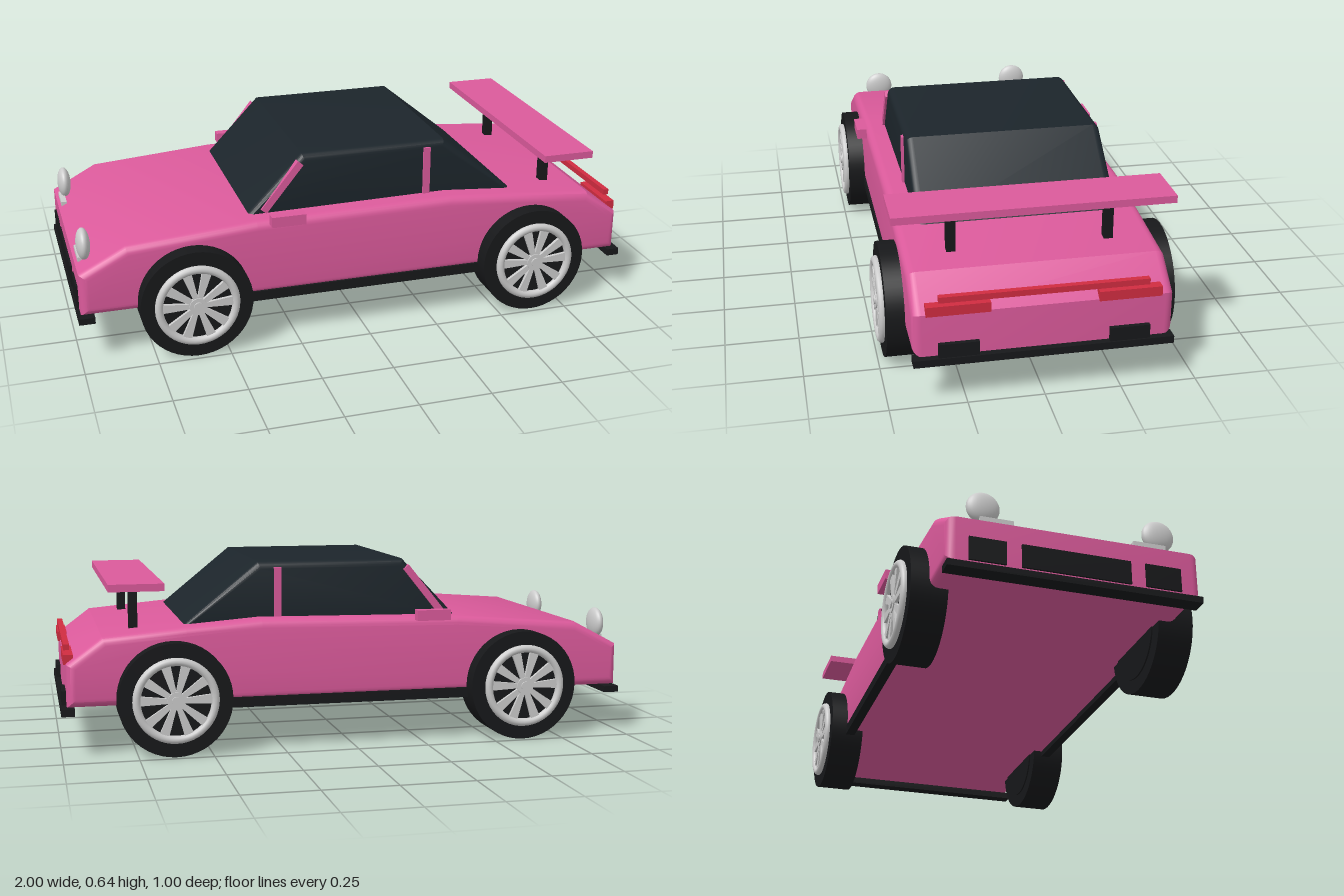
import * as THREE from 'three';
import { toCreasedNormals } from 'three/addons/utils/BufferGeometryUtils.js';

const material = (color) => new THREE.MeshStandardMaterial({ color });

export function createModel() {
  const car = new THREE.Group();
  car.name = 'car';
  const paint = material(0xdb5a9b), black = material(0x17181a), glass = material(0x1c252b);
  const red = material(0xd02c40), metal = material(0xcccccc);

  const add = (name, geometry, mat, x = 0, y = 0, z = 0, parent = car) => {
    const mesh = new THREE.Mesh(geometry, mat);
    mesh.name = name;
    mesh.position.set(x, y, z);
    parent.add(mesh);
    return mesh;
  };
  // Box given by its limits along each axis
  const box = (name, mat, [x0, x1], [y0, y1], [z0, z1]) =>
    add(name, new THREE.BoxGeometry(x1 - x0, y1 - y0, z1 - z0), mat,
      (x0 + x1) / 2, (y0 + y1) / 2, (z0 + z1) / 2);
  // The same box on both sides of the car
  const boxPair = (name, mat, xs, ys, [z0, z1]) => {
    box(name, mat, xs, ys, [z0, z1]);
    box(name, mat, xs, ys, [-z1, -z0]);
  };
  // Side profile extruded across the car with rounded side edges
  const hull = (name, mat, points, halfWidth, bevel) => {
    const shape = new THREE.Shape(points.map(([x, y]) => new THREE.Vector2(x, y)));
    const geometry = new THREE.ExtrudeGeometry(shape, {
      depth: 2 * (halfWidth - bevel), bevelThickness: bevel, bevelSize: bevel,
      bevelOffset: -bevel, bevelSegments: 5,
    });
    geometry.translate(0, 0, bevel - halfWidth);
    add(name, toCreasedNormals(geometry, 0.45), mat);
  };

  // Body and cabin
  hull('body', paint, [[-0.99, 0.17], [0.98, 0.17], [0.98, 0.315], [0.86, 0.405], [0.58, 0.43],
    [0.32, 0.45], [-0.38, 0.44], [-0.83, 0.405], [-0.99, 0.32]], 0.42, 0.03);
  hull('cabin', glass, [[-0.41, 0.42], [0.59, 0.42], [0.32, 0.64], [-0.2, 0.64]], 0.342, 0.025);

  // Roof pillars and mirrors
  boxPair('doorPillar', paint, [0.24, 0.265], [0.43, 0.62], [0.325, 0.35]);
  for (const side of [-1, 1]) {
    const pillar = add('windscreenPillar', new THREE.BoxGeometry(0.025, 0.21, 0.025), paint,
      -0.275, 0.53, side * 0.3375);
    pillar.rotation.z = -0.68;
  }
  boxPair('mirror', paint, [-0.34, -0.22], [0.433, 0.47], [0.424, 0.46]);

  // Rear wing
  box('wing', paint, [0.655, 0.84], [0.56, 0.585], [-0.46, 0.46]);
  boxPair('wingPost', black, [0.73, 0.76], [0.41, 0.562], [0.245, 0.275]);

  // Sills, splitter, bumper and air intakes
  boxPair('sill', black, [-0.5, 0.5], [0.15, 0.185], [0.39, 0.424]);
  box('frontSplitter', black, [-1, -0.945], [0.143, 0.165], [-0.42, 0.42]);
  box('rearBumper', black, [0.955, 1], [0.143, 0.168], [-0.42, 0.42]);
  boxPair('rearVent', black, [0.965, 0.995], [0.165, 0.215], [0.21, 0.34]);
  box('frontIntake', black, [-0.997, -0.97], [0.175, 0.255], [-0.18, 0.18]);
  boxPair('sideIntake', black, [-0.997, -0.97], [0.175, 0.255], [0.23, 0.35]);

  // Lights
  boxPair('tailLight', red, [0.955, 0.988], [0.312, 0.345], [0.173, 0.377]);
  box('rearLightBar', red, [0.965, 0.985], [0.355, 0.375], [-0.336, 0.336]);
  boxPair('headlightBase', metal, [-0.98, -0.96], [0.325, 0.342], [0.2, 0.31]);
  for (const side of [-1, 1]) {
    const lamp = add('headlight', new THREE.SphereGeometry(1, 28, 18), metal, -0.957, 0.385, side * 0.295);
    lamp.scale.set(0.024, 0.055, 0.055);
  }

  // Wheel, with its outer face towards +z
  const disc = (radius, depth) => new THREE.CylinderGeometry(radius, radius, depth, 48).rotateX(Math.PI / 2);
  const spokeShape = new THREE.Shape([[0.02, -0.008], [0.132, -0.017], [0.132, 0.017], [0.02, 0.008]]
    .map(([x, y]) => new THREE.Vector2(x, y)));
  const spokeGeometry = new THREE.ExtrudeGeometry(spokeShape, { depth: 0.012, bevelEnabled: false });
  const makeWheel = (name) => {
    const wheel = new THREE.Group();
    wheel.name = name;
    add('tyre', disc(0.193, 0.122), black, 0, 0, 0.419, wheel);
    add('innerHub', disc(0.145, 0.01), black, 0, 0, 0.358, wheel);
    add('rim', new THREE.TorusGeometry(0.132, 0.014, 12, 48), metal, 0, 0, 0.485, wheel);
    add('hub', disc(0.03, 0.022), metal, 0, 0, 0.485, wheel);
    add('hubCap', disc(0.016, 0.006), metal, 0, 0, 0.498, wheel);
    for (let i = 0; i < 10; i++) {
      // Spokes stand in five close pairs
      const pairOffset = i % 2 ? 0.28 : -0.28;
      const spoke = add('spoke', spokeGeometry, metal, 0, 0, 0.48, wheel);
      spoke.rotation.z = Math.PI / 2 + Math.floor(i / 2) * Math.PI * 0.4 + pairOffset;
    }
    car.add(wheel);
    return wheel;
  };
  for (const [name, x] of [['frontWheel', -0.608], ['rearWheel', 0.625]]) {
    for (const turn of [0, Math.PI]) {
      const wheel = makeWheel(name);
      wheel.position.set(x, 0.194, 0);
      wheel.rotation.y = turn;
    }
  }
  return car;
}
